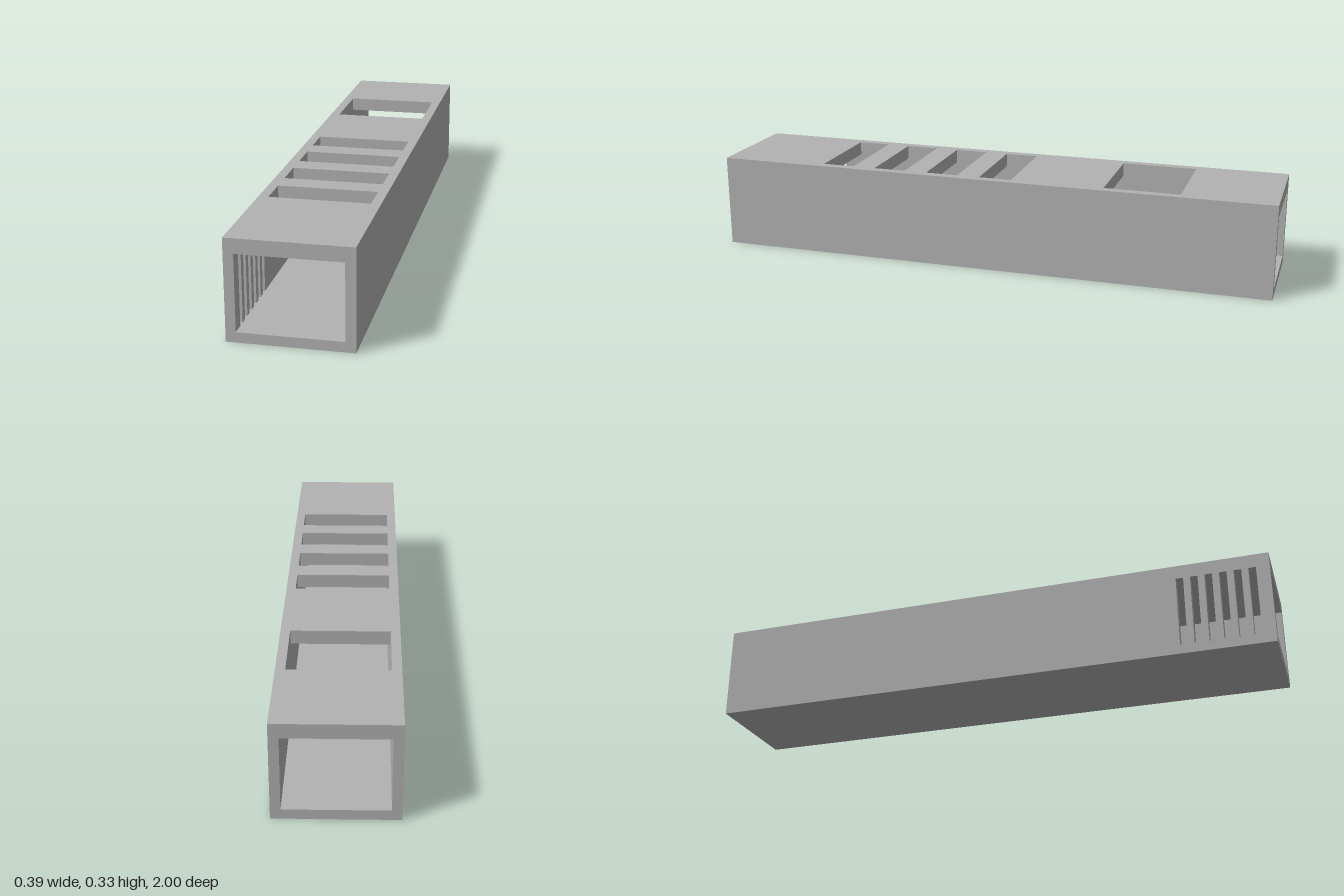
import * as THREE from 'three';

const HALF_W = 0.197, INNER = 0.165, LENGTH = 2;
const FLOOR = 0.033, CEILING = 0.28, TOP = 0.328;

export function createModel() {
  const group = new THREE.Group();
  const grey = new THREE.MeshStandardMaterial({ color: 0xb2b2b2 });
  grey.name = 'plain grey';

  const add = (name, geometry, x, y, z) => {
    const mesh = new THREE.Mesh(geometry, grey);
    mesh.name = name;
    mesh.position.set(x, y, z);
    group.add(mesh);
  };
  const rect = (path, x0, z0, x1, z1) =>
    path.moveTo(x0, z0).lineTo(x1, z0).lineTo(x1, z1).lineTo(x0, z1).closePath();

  // Solid floor
  add('floor', new THREE.BoxGeometry(2 * HALF_W, FLOOR, LENGTH), 0, FLOOR / 2, 0);

  // Roof with one large opening and four narrow ones
  const roof = rect(new THREE.Shape(), -HALF_W, -1, HALF_W, 1);
  const openings = [[-0.677, -0.414]];
  for (let i = 0; i < 4; i++) openings.push([-0.086 + i * 0.197, 0.03 + i * 0.197]);
  for (const [z0, z1] of openings) roof.holes.push(rect(new THREE.Path(), -INNER, z0, INNER, z1));
  const roofGeometry = new THREE.ExtrudeGeometry(roof, { depth: TOP - CEILING, bevelEnabled: false });
  roofGeometry.rotateX(Math.PI / 2);
  add('roof', roofGeometry, 0, TOP, 0);

  // Wall pieces fill the height between floor and roof
  const wall = (name, side, z0, z1) =>
    add(name, new THREE.BoxGeometry(HALF_W - INNER, CEILING - FLOOR, z1 - z0),
      side * (HALF_W + INNER) / 2, (FLOOR + CEILING) / 2, (z0 + z1) / 2);

  wall('leftWall', 1, -1, 1);

  // Right wall: solid run, then slats between six vent slots near the front
  const slots = 6, start = 0.685, pitch = 0.0488, width = 0.0255;
  wall('rightWall', -1, -1, start);
  for (let i = 0; i < slots; i++) {
    const z0 = start + i * pitch + width;
    const last = i === slots - 1;
    wall(last ? 'rightWallFrontPost' : 'ventSlat', -1, z0, last ? 1 : z0 + pitch - width);
  }

  return group;
}
